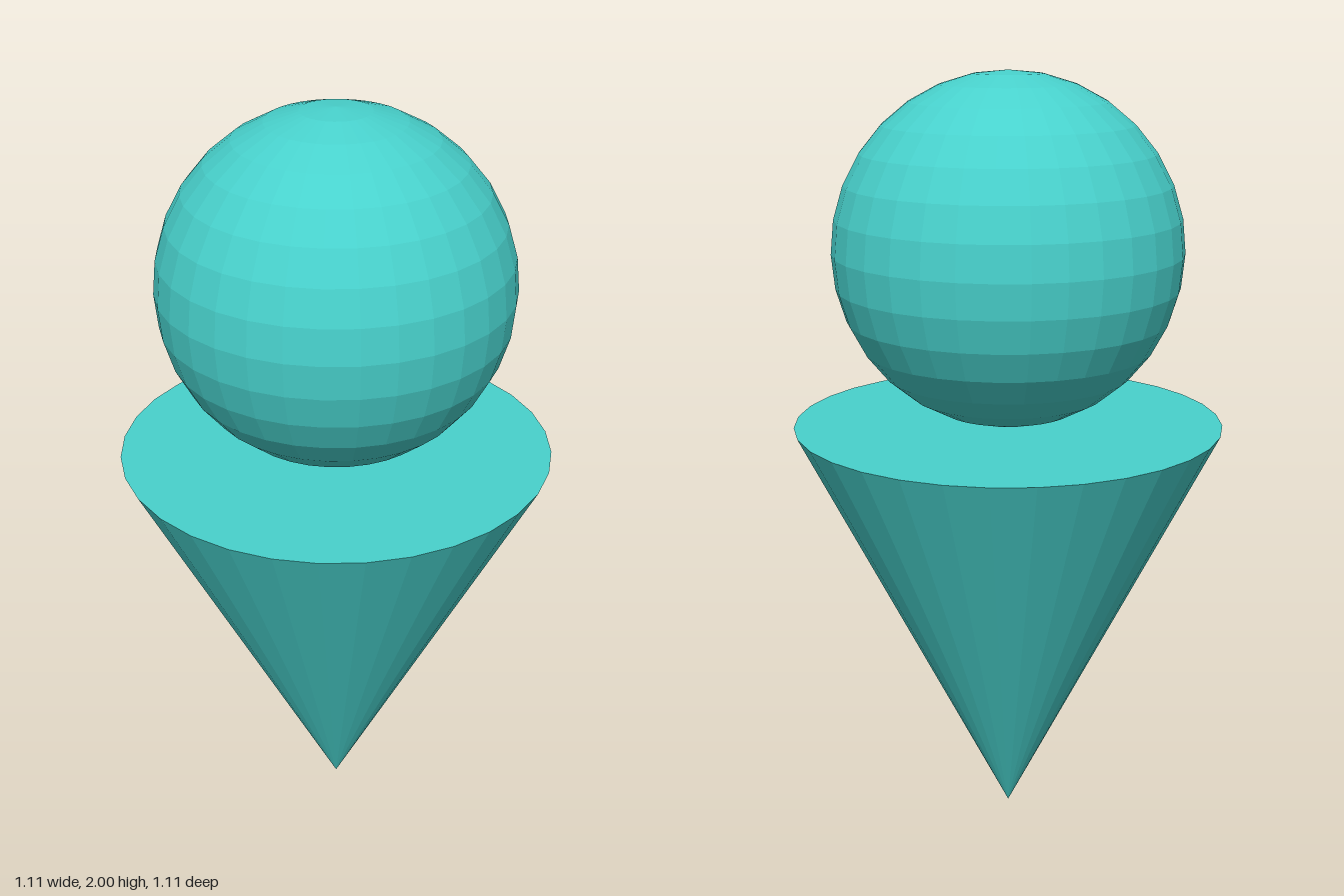
import * as THREE from 'three';

const SIDES = 32;
const CONE_RADIUS = 0.555;
const CONE_HEIGHT = 1.11;
const BALL_RADIUS = 0.445;

export function createModel() {
  const model = new THREE.Group();
  const material = new THREE.MeshStandardMaterial({ color: 0x48d1cc, flatShading: true });

  // Cone standing on its tip, closed by a flat disc on top
  const cone = new THREE.Mesh(
    new THREE.ConeGeometry(CONE_RADIUS, CONE_HEIGHT, SIDES).rotateX(Math.PI),
    material
  );
  cone.name = 'cone';
  cone.position.y = CONE_HEIGHT / 2;

  // Faceted ball resting on the disc
  const ball = new THREE.Mesh(new THREE.SphereGeometry(BALL_RADIUS, SIDES, SIDES / 2), material);
  ball.name = 'ball';
  ball.position.y = CONE_HEIGHT + BALL_RADIUS;

  model.add(cone, ball);
  return model;
}
